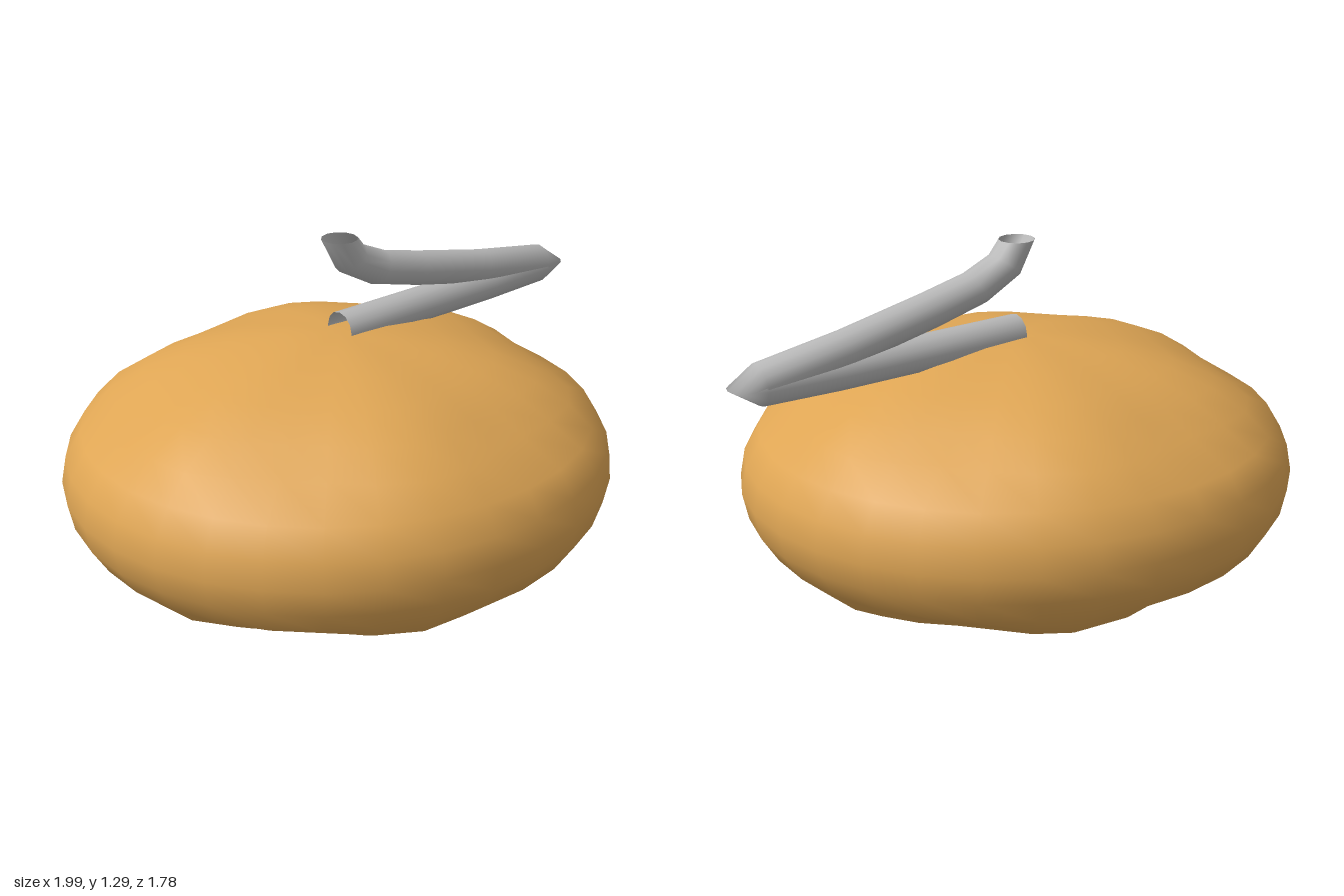
import * as THREE from 'three';
import { mergeVertices } from 'three/addons/utils/BufferGeometryUtils.js';

// Squashed sphere, ribbed above and below a plain belt
function bodyGeometry() {
  const ball = new THREE.SphereGeometry(1, 32, 16);
  ball.deleteAttribute('uv');
  ball.deleteAttribute('normal');
  const geo = mergeVertices(ball);
  const p = geo.attributes.position;
  for (let i = 0; i < p.count; i++) {
    const x = p.getX(i), y = p.getY(i), z = p.getZ(i);
    const rib = Math.cos(6 * Math.atan2(x, z));
    const k = Math.abs(y) > 0.45 ? 0.965 + 0.045 * rib : 1;
    p.setXYZ(i, x * 0.967 * k, y * 0.483, z * 0.89 * k);
  }
  geo.computeVertexNormals();
  return geo;
}

// Open tube through rings given as [distance along u, height, tangent angle in degrees]
function stemGeometry(rings, u, radius, sides) {
  const up = new THREE.Vector3(0, 1, 0);
  const b = new THREE.Vector3().crossVectors(u, up);
  const pos = [], index = [];
  rings.forEach(([d, y, deg], i) => {
    const a = THREE.MathUtils.degToRad(deg);
    const n = u.clone().multiplyScalar(-Math.sin(a)).addScaledVector(up, Math.cos(a));
    for (let j = 0; j < sides; j++) {
      const f = (j / sides) * Math.PI * 2;
      const v = u.clone().multiplyScalar(d).addScaledVector(up, y)
        .addScaledVector(n, radius * Math.cos(f)).addScaledVector(b, radius * Math.sin(f));
      pos.push(v.x, v.y, v.z);
      if (i < rings.length - 1) {
        const k = (j + 1) % sides, r = i * sides, s = r + sides;
        index.push(r + j, r + k, s + j, r + k, s + k, s + j);
      }
    }
  });
  const geo = new THREE.BufferGeometry();
  geo.setAttribute('position', new THREE.Float32BufferAttribute(pos, 3));
  geo.setIndex(index);
  geo.computeVertexNormals();
  return geo;
}

export function createModel() {
  const group = new THREE.Group();
  group.name = 'gourd';
  const skin = new THREE.MeshStandardMaterial({ color: 0xdea554 });
  skin.name = 'ochre skin';
  const grey = new THREE.MeshStandardMaterial({ color: 0xb8b8b8, side: THREE.DoubleSide });
  grey.name = 'grey stem';

  const body = new THREE.Mesh(bodyGeometry(), skin);
  body.name = 'body';
  body.position.set(-0.033, 0.485, 0);

  // Stem runs out along the top, folds back and rises over the middle
  const rings = [
    [0, 0.97, 0], [0.35, 0.97, 0], [0.7, 0.97, 0], [0.97, 0.977, 3],
    [1.015, 0.985, 90],
    [0.97, 0.993, 172], [0.666, 1.043, 169], [0.35, 1.11, 163],
    [0.17, 1.155, 150], [0.05, 1.215, 128], [0, 1.295, 90],
  ];
  const u = new THREE.Vector3(0.946, 0, -0.324).normalize();
  const stem = new THREE.Mesh(stemGeometry(rings, u, 0.062, 12), grey);
  stem.name = 'stem';
  stem.position.x = -0.03;

  group.add(body, stem);
  return group;
}
